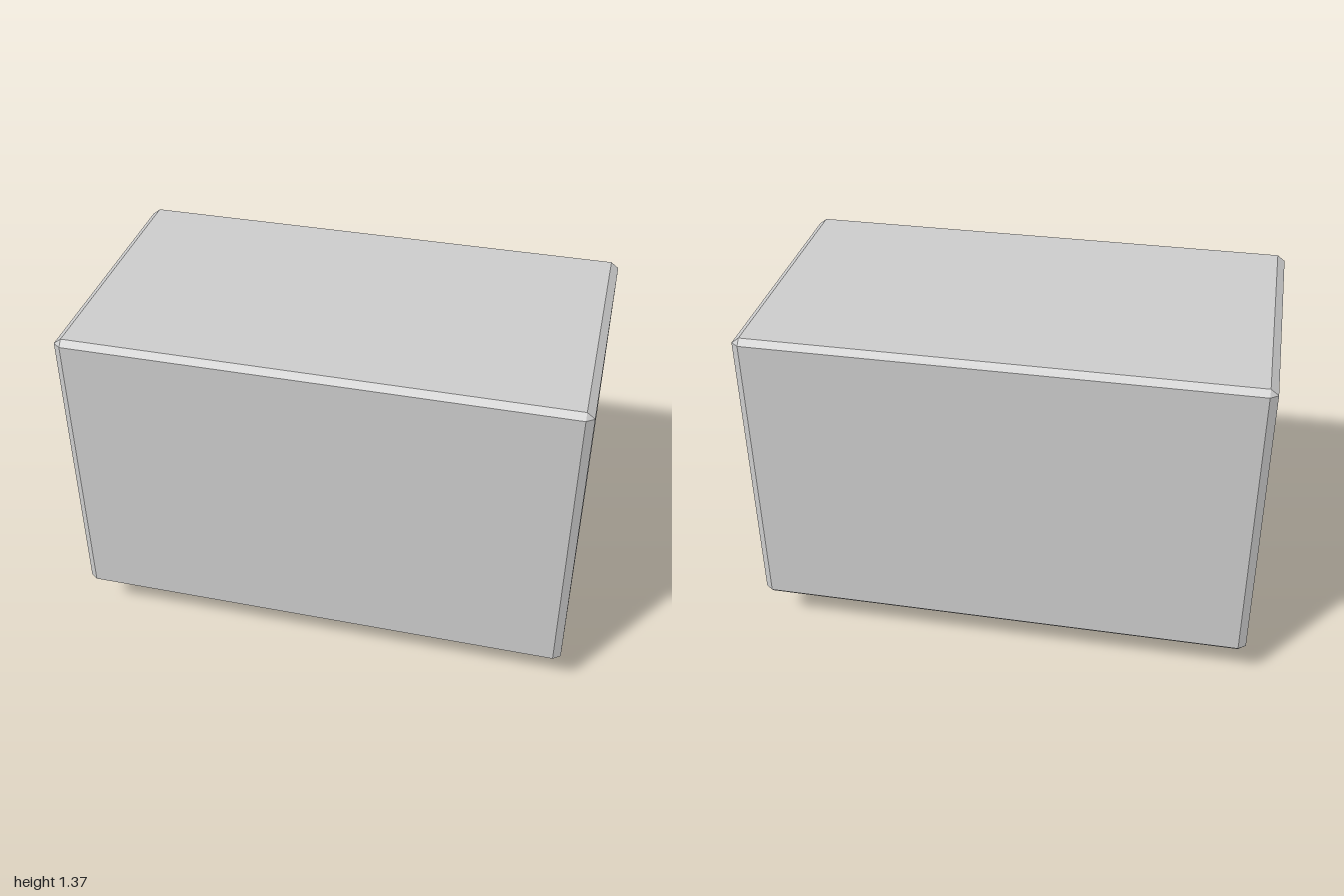
import * as THREE from 'three';
import { ConvexGeometry } from 'three/addons/geometries/ConvexGeometry.js';

const grey = new THREE.MeshStandardMaterial({ color: 0xcccccc, flatShading: true });

function add(group, name, geometry, x, y, z) {
  const mesh = new THREE.Mesh(geometry, grey);
  mesh.name = name;
  mesh.position.set(x, y, z);
  group.add(mesh);
  return mesh;
}

// Box with flat chamfers on every edge and cut corners
function chamferedBox(w, h, d, cx, cy, cz) {
  const points = [];
  for (const sx of [-1, 1]) for (const sy of [-1, 1]) for (const sz of [-1, 1]) {
    const x = w / 2, y = h / 2, z = d / 2;
    points.push(
      new THREE.Vector3(sx * x, sy * (y - cy), sz * (z - cz)),
      new THREE.Vector3(sx * (x - cx), sy * y, sz * (z - cz)),
      new THREE.Vector3(sx * (x - cx), sy * (y - cy), sz * z)
    );
  }
  return new ConvexGeometry(points);
}

export function createModel() {
  const model = new THREE.Group();
  model.name = 'microwaveOven';

  // Casing, resting with its door side down
  add(model, 'casing', chamferedBox(2, 1.225, 1.1, 0.03, 0.023, 0.022), 0, 0.7575, 0);

  // Thin door and control panel on the underside
  const panels = [['door', -0.445, 0.89], ['controlPanel', -0.93, -0.485]];
  for (const [name, x0, x1] of panels) {
    add(model, name, new THREE.BoxGeometry(x1 - x0, 0.025, 0.98), (x0 + x1) / 2, 0.1425, 0);
  }

  // Bracket handle, profile drawn as (z, y) with cut outer corners
  const profile = new THREE.Shape([
    [0.335, 0.135], [0.285, 0.135], [0.285, 0.05], [-0.145, 0.05], [-0.145, 0.135],
    [-0.2, 0.135], [-0.2, 0.05], [-0.15, 0], [0.285, 0], [0.335, 0.05],
  ].map(([z, y]) => new THREE.Vector2(z, y)));
  const handle = add(model, 'doorHandle',
    new THREE.ExtrudeGeometry(profile, { depth: 0.045, bevelEnabled: false }), -0.335, 0, 0);
  handle.rotation.y = -Math.PI / 2;

  return model;
}
